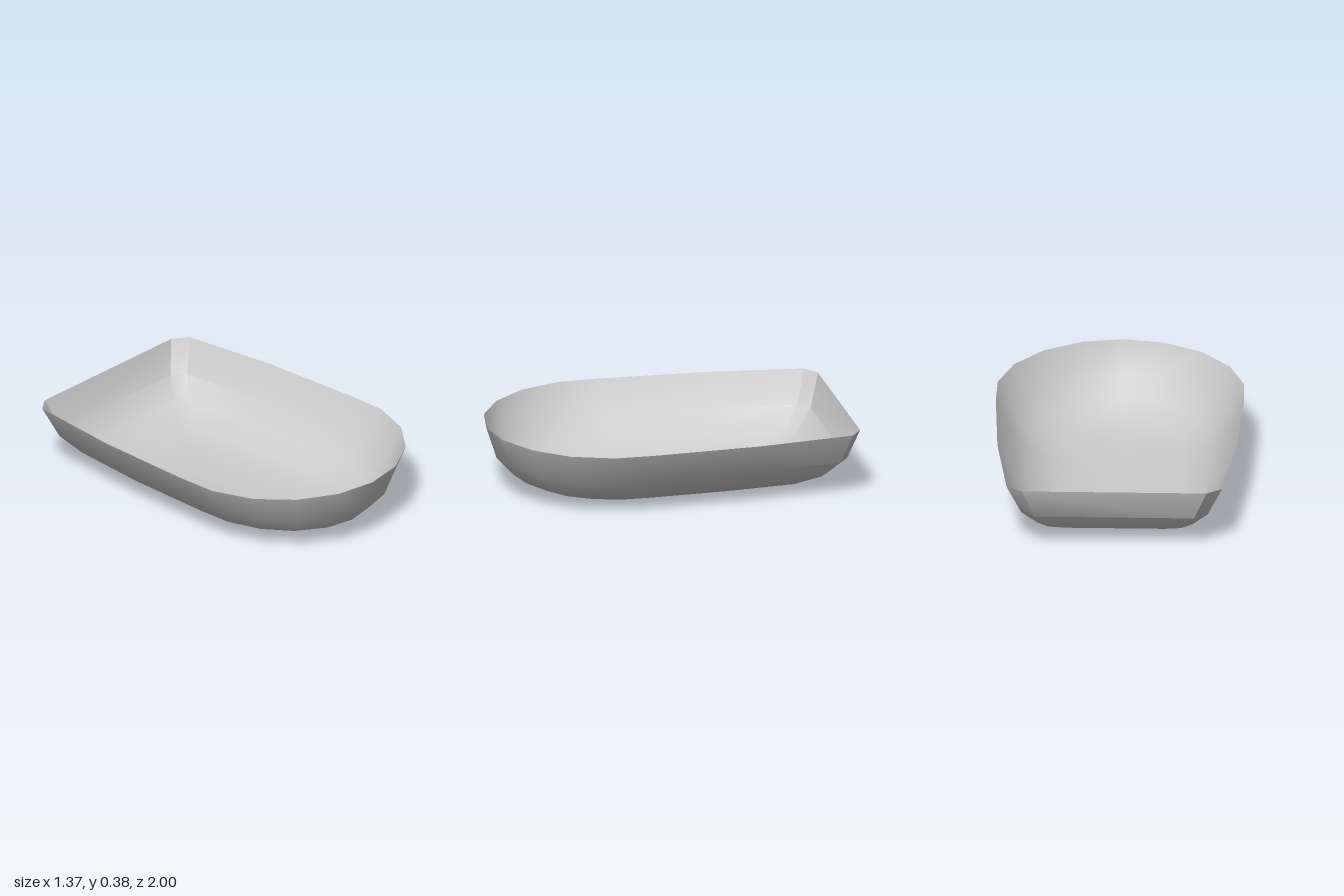
import * as THREE from 'three';
import { toCreasedNormals } from 'three/addons/utils/BufferGeometryUtils.js';

// Half of the rim outline [x, z]: rounded front, tapering sides, chamfered back corner
const HALF_RIM = [
  [0, 1], [0.23, 0.96], [0.44, 0.84], [0.595, 0.66], [0.68, 0.43],
  [0.685, 0.2], [0.66, -0.4], [0.595, -0.94], [0.51, -1],
];

// Levels from rim to floor: [height, x scale, z scale]
const LEVELS = [
  [0.38, 1, 1], [0.2, 0.865, 0.942], [0.097, 0.72, 0.848],
  [0.028, 0.535, 0.713], [0, 0.325, 0.56],
];

function createShellGeometry() {
  const mirrored = HALF_RIM.slice(1).reverse().map(([x, z]) => [-x, z]);
  const rim = [...HALF_RIM, ...mirrored];
  const n = rim.length;
  const positions = [];
  const index = [];

  for (const [y, sx, sz] of LEVELS) {
    for (const [x, z] of rim) positions.push(x * sx, y, z * sz);
  }

  // Walls between neighbouring levels
  for (let r = 0; r < LEVELS.length - 1; r++) {
    for (let i = 0; i < n; i++) {
      const j = (i + 1) % n;
      const a = r * n + i, b = a + n, c = (r + 1) * n + j, d = r * n + j;
      index.push(a, b, c, a, c, d);
    }
  }

  // Flat floor
  const base = (LEVELS.length - 1) * n;
  const centre = positions.length / 3;
  positions.push(0, 0, 0);
  for (let i = 0; i < n; i++) index.push(centre, base + (i + 1) % n, base + i);

  const geometry = new THREE.BufferGeometry();
  geometry.setAttribute('position', new THREE.Float32BufferAttribute(positions, 3));
  geometry.setIndex(index);
  // Smooth bowl, with creases only at the upper back corners
  return toCreasedNormals(geometry, THREE.MathUtils.degToRad(32));
}

export function createModel() {
  const group = new THREE.Group();
  group.name = 'openTray';
  const material = new THREE.MeshStandardMaterial({ color: 0xcccccc, side: THREE.DoubleSide });
  const shell = new THREE.Mesh(createShellGeometry(), material);
  shell.name = 'trayShell';
  group.add(shell);
  return group;
}
